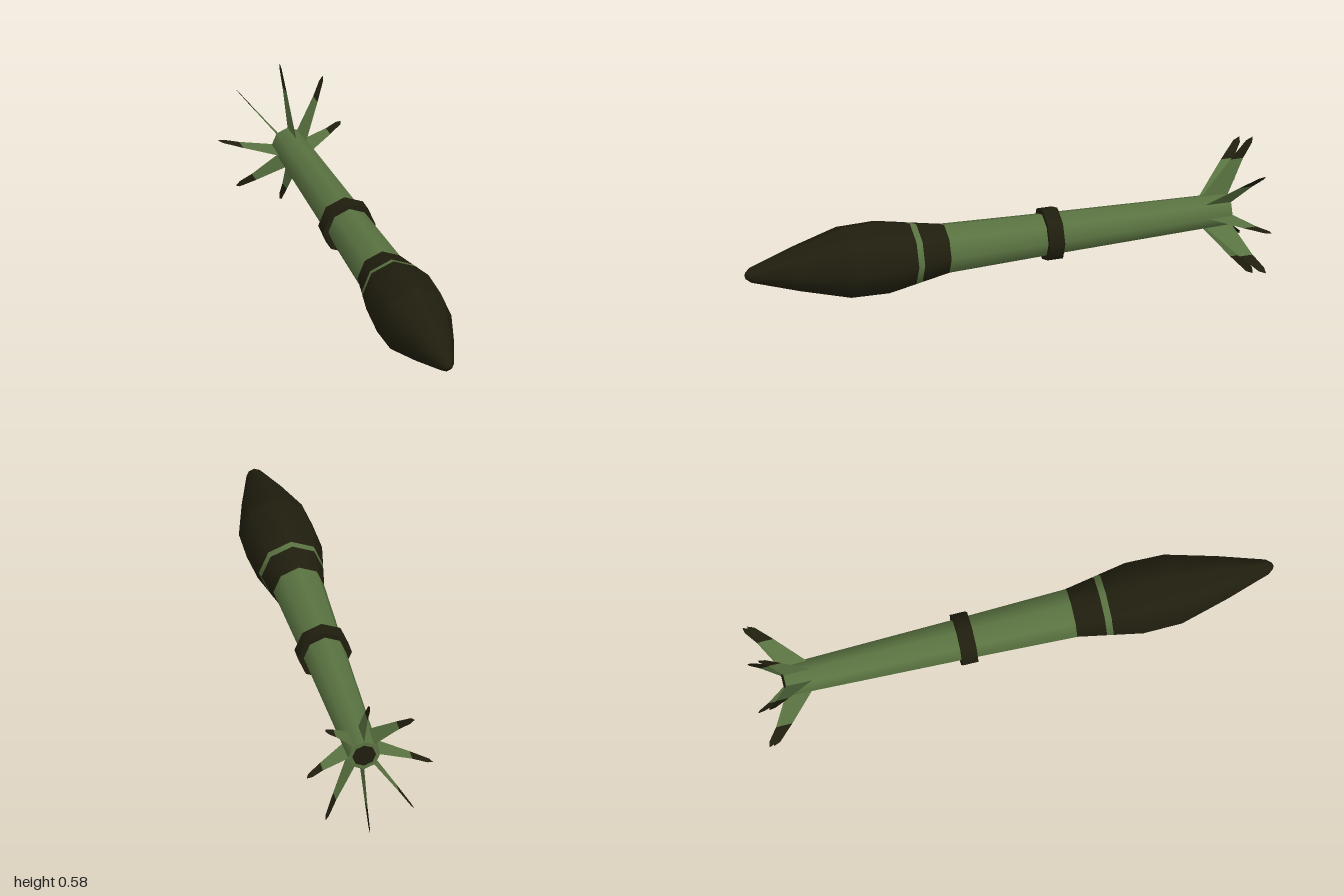
import * as THREE from 'three';

const green = new THREE.MeshStandardMaterial({ name: 'olive green', color: 0x5a7341 });
const dark = new THREE.MeshStandardMaterial({ name: 'dark olive', color: 0x201e0e });
const finGreen = green.clone();
finGreen.name = 'fin green';
finGreen.side = THREE.DoubleSide;
const finDark = dark.clone();
finDark.name = 'fin tip dark';
finDark.side = THREE.DoubleSide;

const SIDES = 8;
const AXIS_Y = 0.29;

// Eight-sided body section along z; profile is [z, radius] from rear to front
function section(name, material, profile) {
  const geo = new THREE.LatheGeometry(profile.map(([z, r]) => new THREE.Vector2(r, z)), SIDES);
  geo.rotateX(Math.PI / 2);
  const mesh = new THREE.Mesh(geo, material);
  mesh.name = name;
  return mesh;
}

// Flat plate in the plane through the axis at the given angle; outline is [z, radius]
function plate(name, material, outline, angle) {
  const geo = new THREE.ShapeGeometry(new THREE.Shape(outline.map(([z, r]) => new THREE.Vector2(z, r))));
  const pos = geo.attributes.position;
  for (let i = 0; i < pos.count; i++) {
    const z = pos.getX(i), r = pos.getY(i);
    // the fin spread is narrower sideways than upright
    pos.setXYZ(i, r * Math.cos(angle) * 0.84, r * Math.sin(angle), z);
  }
  geo.computeVertexNormals();
  const mesh = new THREE.Mesh(geo, material);
  mesh.name = name;
  return mesh;
}

export function createModel() {
  const model = new THREE.Group();
  model.name = 'rocket';
  const body = new THREE.Group();
  body.name = 'body';
  body.position.y = AXIS_Y;
  model.add(body);

  // Warhead with its painted band
  body.add(
    section('nose', dark, [[0.61, 0.142], [0.8, 0.088], [0.975, 0.03], [0.995, 0.013], [1, 0]]),
    section('warhead', dark, [[0.35, 0.124], [0.46, 0.145], [0.61, 0.142]]),
    section('warheadBand', green, [[0.325, 0.119], [0.35, 0.124]]),
    section('warheadBase', dark, [[0.215, 0.098], [0.325, 0.119]]),
  );

  // Tapered motor tube and collar
  body.add(
    section('frontTube', green, [[-0.2, 0.083], [0.215, 0.098]]),
    section('rearTube', green, [[-0.9, 0.062], [-0.8, 0.065], [-0.2, 0.083]]),
    section('collarRear', dark, [[-0.23, 0.08], [-0.23, 0.104]]),
    section('collar', dark, [[-0.23, 0.104], [-0.17, 0.104]]),
    section('collarFront', dark, [[-0.17, 0.104], [-0.17, 0.08]]),
  );

  // Nozzle end
  body.add(
    section('nozzleRim', green, [[-0.9, 0.046], [-0.9, 0.062]]),
    section('nozzleOpening', dark, [[-0.9, 0], [-0.9, 0.046]]),
  );

  // Eight swept fins with dark tips
  for (let i = 0; i < SIDES; i++) {
    const angle = (i / SIDES) * Math.PI * 2;
    const fin = new THREE.Group();
    fin.name = 'fin';
    fin.add(
      plate('finBlade', finGreen, [[-0.785, 0.05], [-0.895, 0.05], [-0.96, 0.205], [-0.909, 0.205]], angle),
      plate('finTip', finDark, [[-0.909, 0.205], [-0.96, 0.205], [-0.995, 0.265], [-0.998, 0.29], [-0.972, 0.278]], angle),
    );
    body.add(fin);
  }
  return model;
}
